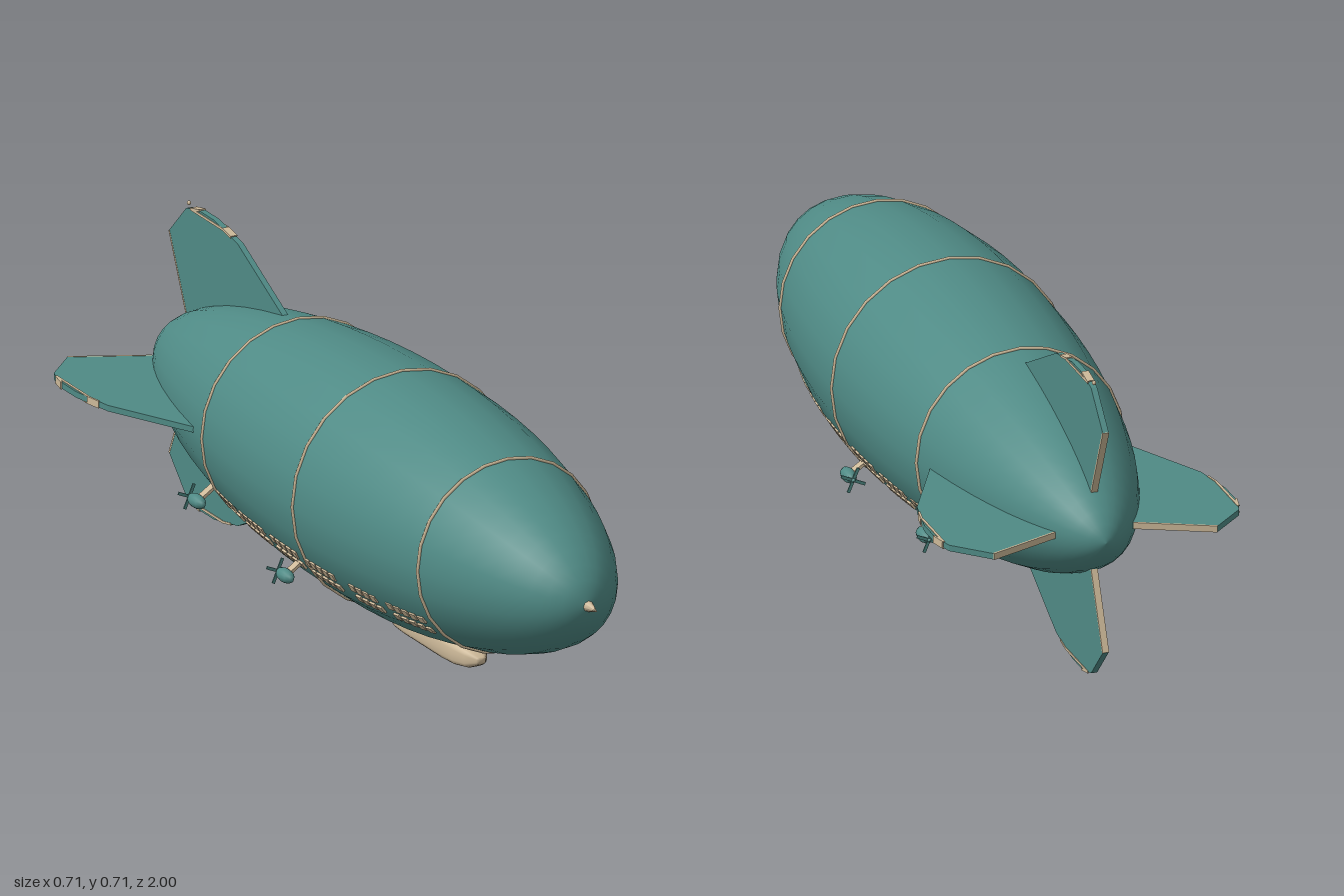
import * as THREE from 'three';
import { mergeVertices } from 'three/addons/utils/BufferGeometryUtils.js';

const AXIS_Y = 0.355, WIDE_Z = 0.08, R = 0.272, SIDES = 24;

// Hull radius at a station along z
function hullRadius(z) {
  const t = z > WIDE_Z ? (z - WIDE_Z) / 0.88 : (WIDE_Z - z) / 1.075;
  return R * Math.pow(Math.max(0, 1 - t * t), z > WIDE_Z ? 0.5 : 0.58);
}

export function createModel() {
  const model = new THREE.Group();
  model.name = 'airship';
  const material = (name, color, side = THREE.FrontSide) => {
    const m = new THREE.MeshStandardMaterial({ color, side });
    m.name = name;
    return m;
  };
  const teal = material('teal', 0x4f8a85);
  const cream = material('cream', 0xcdb999);
  const add = (parent, name, geometry, mat, x = 0, y = 0, z = 0) => {
    const mesh = new THREE.Mesh(geometry, mat);
    mesh.name = name;
    mesh.position.set(x, y, z);
    parent.add(mesh);
    return mesh;
  };

  // Hull: lathe laid along z, with stations packed towards both ends
  const profile = [];
  for (let i = 0; i <= 32; i++) {
    const z = -0.0175 - 0.9775 * Math.cos((i / 32) * Math.PI);
    profile.push(new THREE.Vector2(i % 32 ? hullRadius(z) : 0, z));
  }
  add(model, 'hull', new THREE.LatheGeometry(profile, SIDES).rotateX(Math.PI / 2), teal, 0, AXIS_Y, 0);

  // Hoops around the hull and the nose spike
  for (const z of [0.58, 0.085, -0.4]) {
    add(model, 'hullHoop', new THREE.TorusGeometry(hullRadius(z) + 0.001, 0.004, 6, SIDES), cream, 0, AXIS_Y, z);
  }
  add(model, 'noseSpike', new THREE.ConeGeometry(0.015, 0.05, 8).rotateX(Math.PI / 2), cream, 0, AXIS_Y, 0.975);

  // Four tail fins; outline is (distance aft, radius)
  const outline = [[0.46, 0.229], [0.67, 0.33], [0.78, 0.35], [0.85, 0.35], [0.91, 0.337],
    [0.99, 0.26], [0.91, 0.09], [0.9, 0.04], [0.5, 0.16]];
  const finGeometry = new THREE.ExtrudeGeometry(
    new THREE.Shape(outline.map(([a, r]) => new THREE.Vector2(a, r))),
    { depth: 0.014, bevelEnabled: false });
  finGeometry.translate(0, 0, -0.007).rotateY(Math.PI / 2);
  for (let i = 0; i < 4; i++) {
    const fin = new THREE.Group();
    fin.name = 'tailFin';
    fin.position.y = AXIS_Y;
    fin.rotation.z = i * Math.PI / 2;
    model.add(fin);
    add(fin, 'finBlade', finGeometry, teal);
    // Trim along the tip, on both faces
    for (const s of [-1, 1]) {
      add(fin, 'tipTrim', new THREE.BoxGeometry(0.002, 0.006, 0.15), cream, s * 0.0075, 0.342, -0.815);
    }
    // Small edge plates
    for (const [z, r, tilt] of [[-0.72, 0.339, 0.18], [-0.867, 0.3465, -0.21]]) {
      add(fin, 'edgePlate', new THREE.BoxGeometry(0.017, 0.005, 0.04), cream, 0, r, z).rotation.x = tilt;
    }
    // Trailing edge strip
    add(fin, 'trailingStrip', new THREE.BoxGeometry(0.015, 0.186, 0.005), cream, 0, 0.176, -0.95)
      .rotation.x = -Math.atan2(0.08, 0.17);
  }
  add(model, 'tailLamp', new THREE.SphereGeometry(0.005, 8, 6), cream, 0, 0.703, -0.91);

  // Gondola: round lathe squared off into a soft box
  const podProfile = [[0, -0.197], [0.3, -0.197], [0.75, -0.18], [0.95, -0.14], [1, -0.1],
    [1, 0.08], [0.93, 0.13], [0.72, 0.172], [0.28, 0.198], [0, 0.198]];
  const pod = new THREE.LatheGeometry(podProfile.map(([r, z]) => new THREE.Vector2(r, z)), 24).rotateX(Math.PI / 2);
  const p = pod.attributes.position;
  const square = (c, radius) => radius < 1e-6 ? 0 : Math.sign(c) * Math.pow(Math.abs(c) / radius, 0.6) * radius;
  for (let i = 0; i < p.count; i++) {
    const radius = Math.hypot(p.getX(i), p.getY(i));
    p.setXY(i, square(p.getX(i), radius) * 0.041, square(p.getY(i), radius) * 0.03);
  }
  pod.deleteAttribute('normal');
  pod.deleteAttribute('uv');
  const podSmooth = mergeVertices(pod, 1e-5);
  podSmooth.computeVertexNormals();
  add(model, 'gondola', podSmooth, cream, 0, 0.067, 0.257);
  for (const z of [0.33, 0.19]) {
    add(model, 'gondolaFoot', new THREE.BoxGeometry(0.012, 0.006, 0.014), cream, 0, 0.036, z);
  }

  // Window rows: groups of thin plates on both flanks
  const windowGeometry = new THREE.BoxGeometry(0.005, 0.018, 0.021);
  const groups = [[0.548, 5], [0.378, 4], [0.212, 5], [0.043, 5], [-0.127, 5], [-0.295, 4]];
  for (const side of [-1, 1]) {
    for (const y of [0.222, 0.194]) {
      for (const [start, count] of groups) {
        for (let k = 0; k < count; k++) {
          const z = start - 0.0115 - k * 0.0272;
          const dy = y - AXIS_Y, x = Math.sqrt(hullRadius(z) ** 2 - dy * dy);
          const slope = (hullRadius(z + 0.01) - hullRadius(z - 0.01)) / 0.02;
          const pane = add(model, 'window', windowGeometry, cream, side * x, y, z);
          pane.rotation.set(0, side * Math.atan(slope), Math.atan2(dy, side * x), 'ZYX');
          if (side < 0) pane.rotation.y = Math.atan(slope);
        }
      }
    }
  }

  // Engines: nacelle, strut and four-bladed rear propeller
  const nacelle = new THREE.SphereGeometry(0.016, 10, 8).scale(1, 1, 2.1);
  for (const side of [-1, 1]) {
    for (const [x, y, z] of [[0.256, 0.172, 0.02], [0.234, 0.197, -0.435]]) {
      const engine = new THREE.Group();
      engine.name = 'engine';
      engine.position.set(side * x, y, z);
      model.add(engine);
      add(engine, 'nacelle', nacelle, teal);
      add(engine, 'spinner', new THREE.ConeGeometry(0.007, 0.014, 8).rotateX(-Math.PI / 2), teal, 0, 0, -0.038);
      for (let k = 0; k < 2; k++) {
        add(engine, 'propellerBlades', new THREE.BoxGeometry(0.007, 0.06, 0.003), teal, 0, 0, -0.034)
          .rotation.z = side * 0.4 + k * Math.PI / 2;
      }
      // Strut reaching in to the hull
      const angle = Math.atan2(y - AXIS_Y, side * x);
      const length = Math.hypot(x, y - AXIS_Y) - hullRadius(z) + 0.01;
      const strut = add(engine, 'engineStrut', new THREE.BoxGeometry(length, 0.007, 0.02), cream,
        -Math.cos(angle) * length / 2, -Math.sin(angle) * length / 2, 0);
      strut.rotation.z = angle;
    }
  }
  return model;
}
